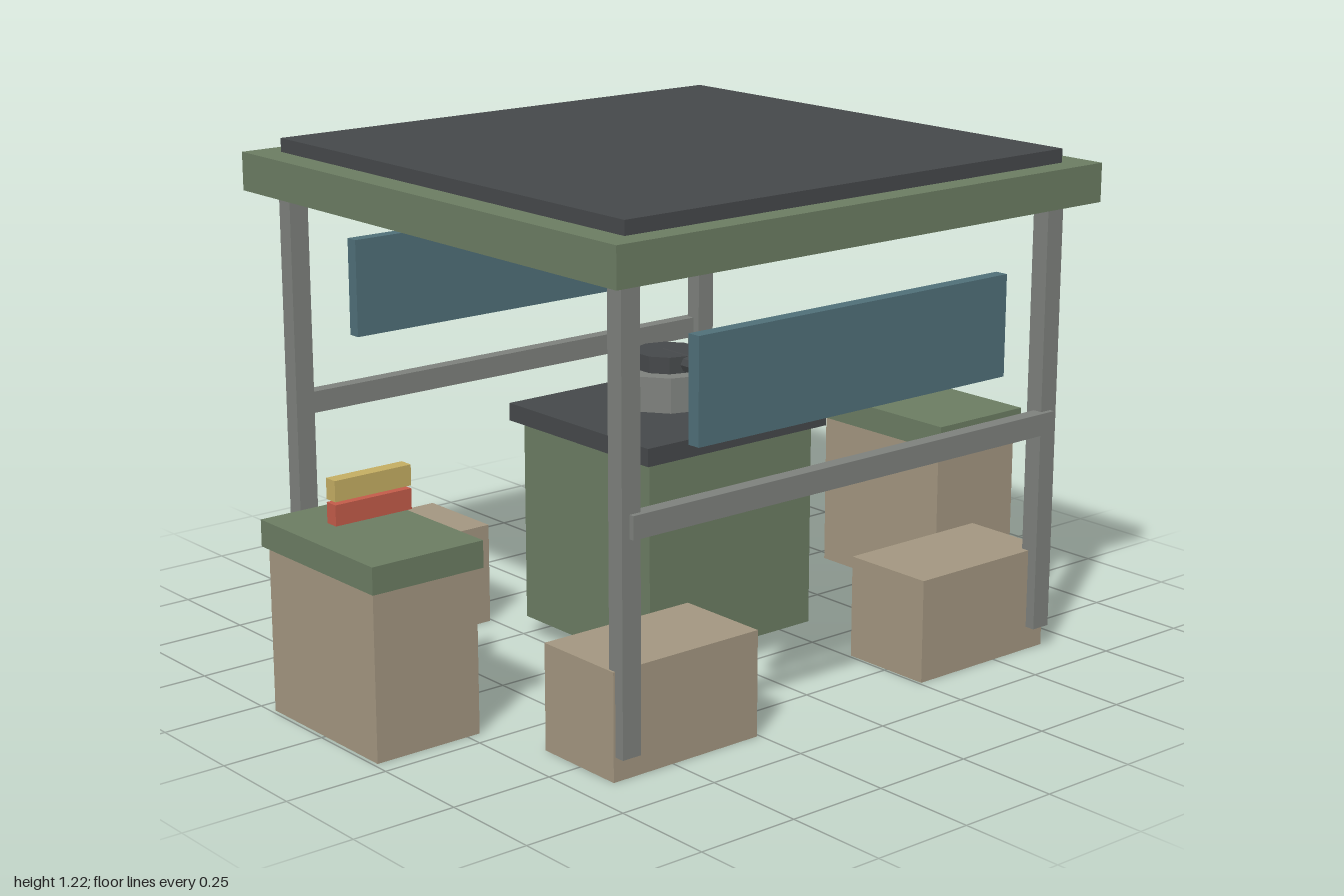
import * as THREE from 'three';

const mat = (name, color) => {
  const m = new THREE.MeshStandardMaterial({ color });
  m.name = name;
  return m;
};

export function createModel() {
  const model = new THREE.Group();
  model.name = 'shelter';

  const green = mat('olive green', 0x6b7c62);
  const tan = mat('sand tan', 0xa39680);
  const dark = mat('charcoal', 0x45484a);
  const grey = mat('steel grey', 0x7d807c);
  const blue = mat('slate blue', 0x4f6f78);
  const yellow = mat('yellow', 0xc4ad62);
  const red = mat('red', 0xc25b49);

  // Box from its min and max on each axis
  const box = (name, material, [x0, x1], [y0, y1], [z0, z1]) => {
    const mesh = new THREE.Mesh(new THREE.BoxGeometry(x1 - x0, y1 - y0, z1 - z0), material);
    mesh.position.set((x0 + x1) / 2, (y0 + y1) / 2, (z0 + z1) / 2);
    mesh.name = name;
    model.add(mesh);
    return mesh;
  };
  // Range mirrored by a sign
  const side = (s, a, b) => (s > 0 ? [a, b] : [-b, -a]);

  // Upright faceted cylinder
  const drum = (name, material, r, y0, y1, sides) => {
    const geo = new THREE.CylinderGeometry(r, r, y1 - y0, sides).toNonIndexed();
    geo.computeVertexNormals();
    const mesh = new THREE.Mesh(geo, material);
    mesh.position.y = (y0 + y1) / 2;
    mesh.name = name;
    model.add(mesh);
    return mesh;
  };

  // Roof
  box('roofSlab', green, [-0.72, 0.72], [1.095, 1.187], [-0.7, 0.7]);
  box('roofPanel', dark, [-0.65, 0.65], [1.187, 1.22], [-0.64, 0.64]);

  // Central pedestal with its plate
  box('pedestal', green, [-0.25, 0.25], [0.05, 0.545], [-0.235, 0.235]);
  box('pedestalPlate', dark, [-0.275, 0.275], [0.545, 0.588], [-0.26, 0.26]);

  // Swivel and forward arm
  drum('swivelBase', grey, 0.12, 0.6, 0.685, 10);
  drum('swivelHead', dark, 0.08, 0.685, 0.725, 10);
  const arm = drum('forwardArm', dark, 0.021, 0, 0.36, 8);
  arm.rotation.x = Math.PI / 2;
  arm.position.set(0, 0.705, 0.165);

  for (const sz of [1, -1]) {
    // Rails and signs on front and back
    box('crossRail', grey, [-0.64, 0.64], [0.545, 0.598], side(sz, 0.617, 0.653));
    box('signBoard', blue, [-0.463, 0.463], [0.712, 0.953], side(sz, 0.62, 0.653));
    for (const sx of [1, -1]) {
      // Corner posts and crates
      box('post', grey, side(sx, 0.61, 0.66), [0.057, 1.095], side(sz, 0.595, 0.64));
      box('cornerCrate', tan, side(sx, 0.257, 0.665), [0, 0.25], side(sz, 0.378, 0.615));
    }
  }

  // Side counters with stacked bars
  for (const sx of [1, -1]) {
    box('counter', tan, side(sx, 0.717, 0.99), [0, 0.39], [-0.205, 0.205]);
    box('counterTop', green, side(sx, 0.709, 1), [0.39, 0.453], [-0.22, 0.22]);
    box('lowerBar', red, side(sx, 0.755, 0.955), [0.485, 0.533], [-0.017, 0.017]);
    box('upperBar', yellow, side(sx, 0.755, 0.955), [0.54, 0.588], [-0.017, 0.017]);
  }

  return model;
}
